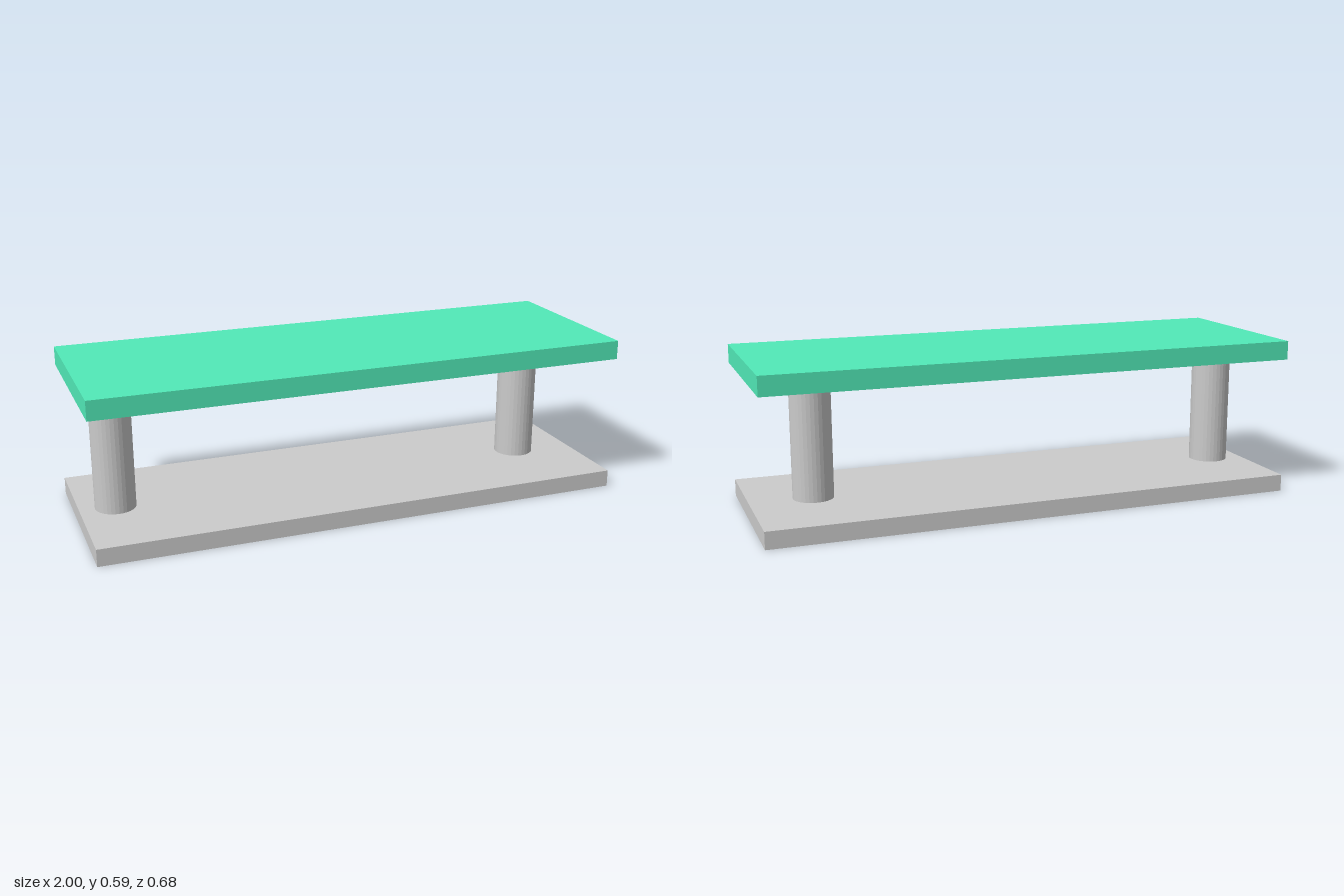
import * as THREE from 'three';

export function createModel() {
  const group = new THREE.Group();
  const grey = new THREE.MeshStandardMaterial({ color: 0xcccccc, flatShading: true });
  const green = new THREE.MeshStandardMaterial({ color: 0x52eab8 });

  const add = (name, geometry, material, x, y) => {
    const mesh = new THREE.Mesh(geometry, material);
    mesh.name = name;
    mesh.position.set(x, y, 0);
    group.add(mesh);
  };

  const baseTop = 0.064, seatBottom = 0.519, seatTop = 0.59;
  const width = 2, depth = 0.684;

  // Base plate and seat slab
  add('base', new THREE.BoxGeometry(width, baseTop, depth), grey, 0, baseTop / 2);
  add('seat', new THREE.BoxGeometry(width, seatTop - seatBottom, depth), green, 0, (seatTop + seatBottom) / 2);

  // Round posts, set slightly off-centre along the bench
  const postHeight = seatBottom - baseTop;
  const post = new THREE.CylinderGeometry(0.075, 0.075, postHeight, 32);
  for (const [name, x] of [['rightPost', -0.868], ['leftPost', 0.766]]) {
    add(name, post, grey, x, baseTop + postHeight / 2);
  }

  return group;
}
